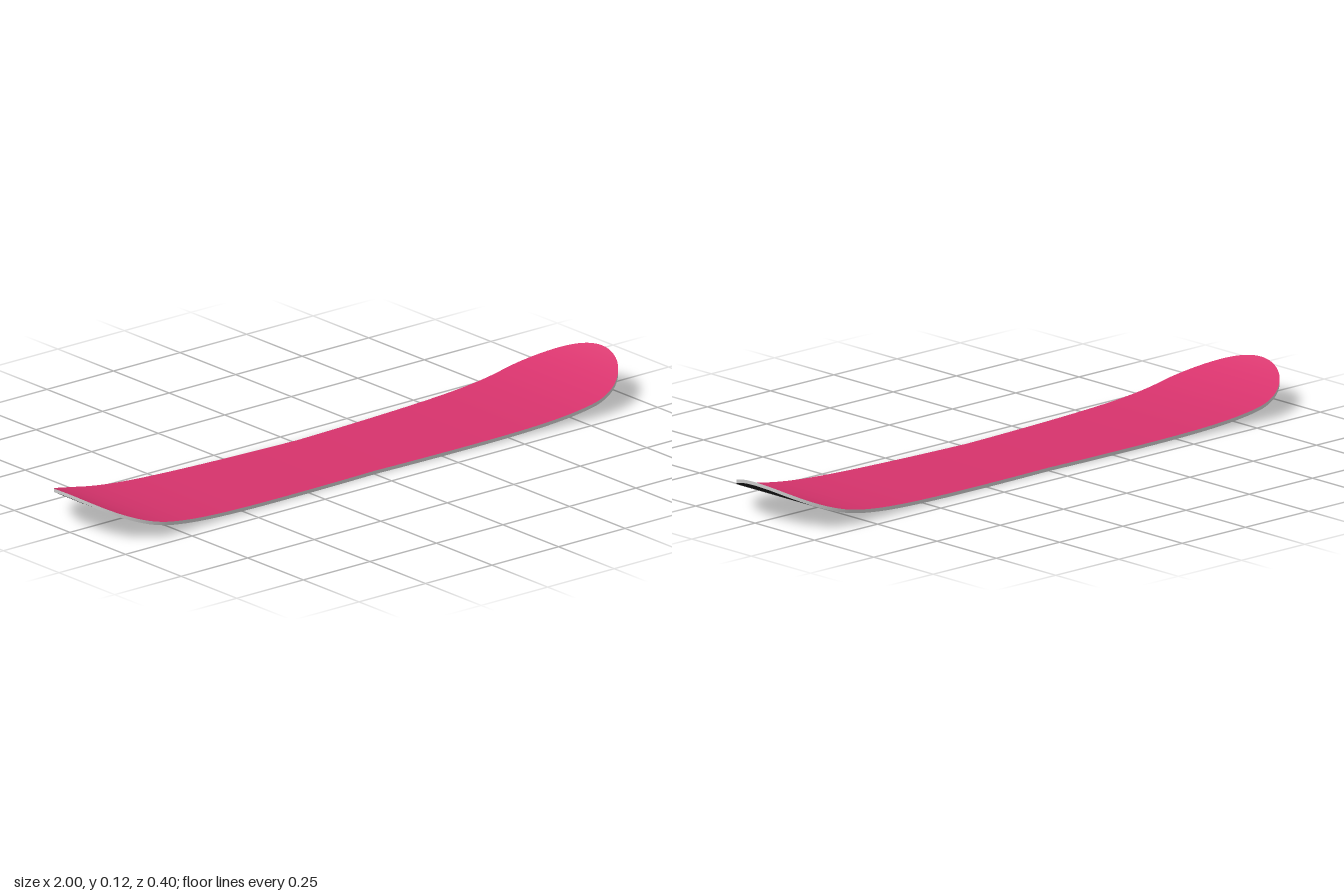
import * as THREE from 'three';

const THICK = 0.0105, N = 96;

// underside height along the board: nearly flat middle, upturned nose and slightly lower tail
function height(x) {
  const a = Math.abs(x);
  return 0.02 * a * a + (x < 0 ? 0.085 : 0.092) * a ** 7;
}

// outline half width: tapered waist, round ends
function halfWidth(x) {
  const a = Math.abs(x);
  if (a < 0.8) return 0.174 + 0.026 * (a / 0.8);
  return Math.max(0.003, Math.sqrt(Math.max(0, 0.04 - (a - 0.8) ** 2)));
}

// station position, packed closer towards the tips
const station = (u) => Math.sin((u - 0.5) * Math.PI);

function addMesh(group, name, geometry, color) {
  geometry.computeVertexNormals();
  const mesh = new THREE.Mesh(geometry, new THREE.MeshStandardMaterial({ color }));
  mesh.name = name;
  group.add(mesh);
}

// flat grid bent to the board's outline and profile
function sheet(facing, lift) {
  const g = new THREE.PlaneGeometry(1, 1, N, 8).rotateX(-facing * Math.PI / 2);
  const p = g.attributes.position;
  for (let i = 0; i < p.count; i++) {
    const x = station(p.getX(i) + 0.5);
    p.setXYZ(i, x, height(x) + lift, p.getZ(i) * 2 * halfWidth(x));
  }
  return g;
}

// edge band: along the front side, then back along the rear side
function rim() {
  const L = 2 * N + 1;
  const g = new THREE.PlaneGeometry(1, 1, L + 1, 1);
  const p = g.attributes.position;
  for (let i = 0; i <= L + 1; i++) {
    const k = i % (L + 1);
    const front = k <= N;
    const x = station((front ? k : L - k) / N);
    const z = halfWidth(x) * (front ? 1 : -1);
    p.setXYZ(i, x, height(x) + THICK, z);
    p.setXYZ(i + L + 2, x, height(x), z);
  }
  return g;
}

export function createModel() {
  const board = new THREE.Group();
  board.name = 'snowboard';
  addMesh(board, 'topSheet', sheet(1, THICK), 0xd6336c);
  addMesh(board, 'base', sheet(-1, 0), 0x1e1e1e);
  addMesh(board, 'edge', rim(), 0xcccccc);
  return board;
}
